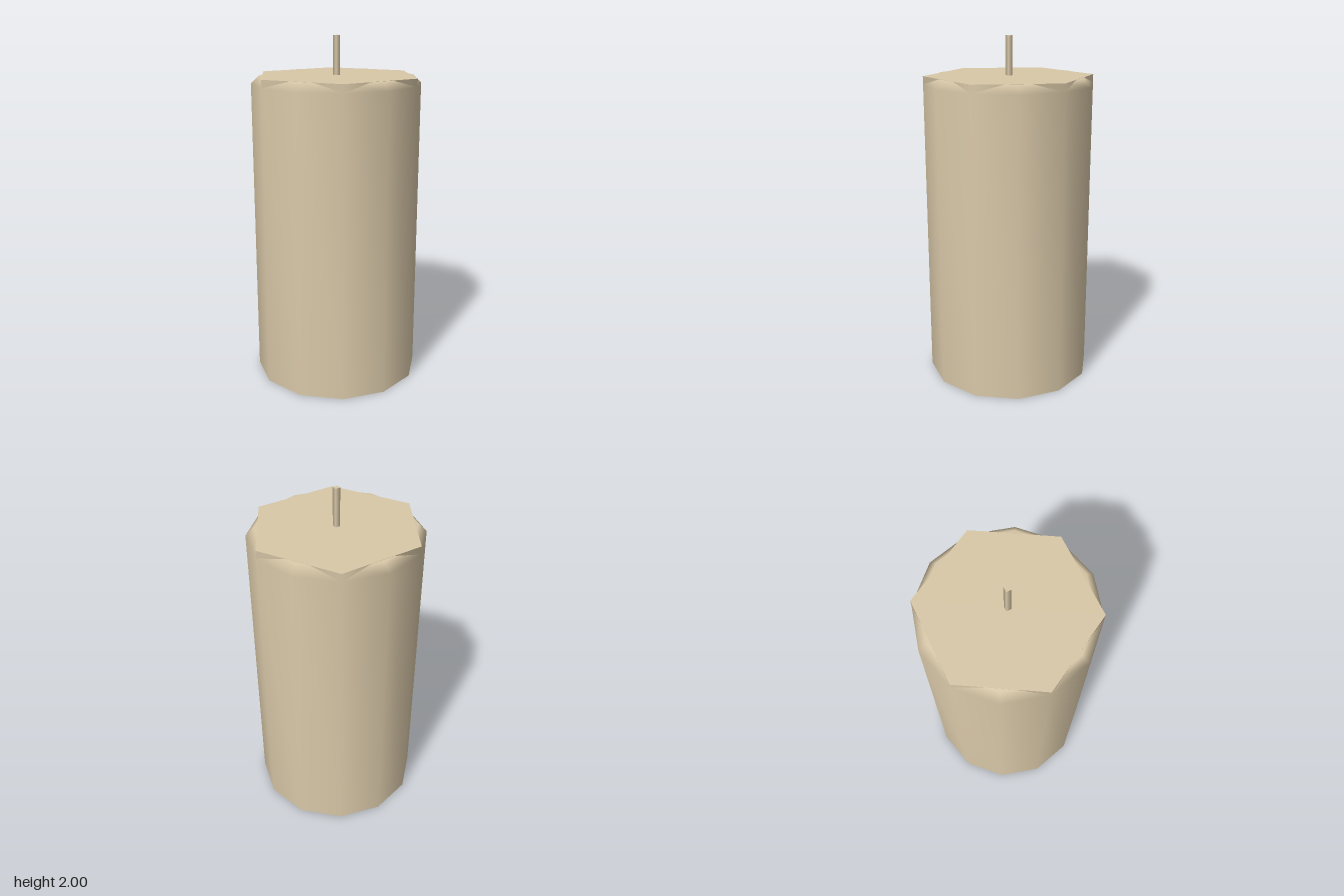
import * as THREE from 'three';
import { mergeVertices } from 'three/addons/utils/BufferGeometryUtils.js';

const RADIUS = 0.485, TOP = 1.78, BEVEL = 0.046;

export function createModel() {
  const model = new THREE.Group();
  model.name = 'candle';
  const wax = new THREE.MeshStandardMaterial({ color: 0xd9c8a8 });
  wax.name = 'wax';

  const add = (name, geometry, y = 0) => {
    const mesh = new THREE.Mesh(geometry, wax);
    mesh.name = name;
    mesh.position.y = y;
    model.add(mesh);
    return mesh;
  };

  // Twelve-sided body with a softly shaded bevel at the rim
  const profile = [
    [RADIUS, 0], [RADIUS, TOP - BEVEL], [RADIUS - BEVEL, TOP - 0.001], [0, TOP - 0.001],
  ].map(([x, y]) => new THREE.Vector2(x, y));
  let body = new THREE.LatheGeometry(profile, 12);
  body.deleteAttribute('normal');
  body.deleteAttribute('uv');
  body = mergeVertices(body, 1e-4);
  body.computeVertexNormals();
  add('body', body);

  // Flat underside, corners aligned with the body
  add('base', new THREE.CircleGeometry(RADIUS, 12)).rotation.x = Math.PI / 2;

  // Six-sided top whose corners stand out above the bevel
  add('hexagonalTop', new THREE.CylinderGeometry(RADIUS, RADIUS, 0.1, 6, 1, false, Math.PI / 6), TOP - 0.05);

  // Square wick
  const wickHeight = 2 - TOP + 0.02;
  add('wick', new THREE.CylinderGeometry(0.02, 0.02, wickHeight, 4, 1, false, Math.PI / 4), 2 - wickHeight / 2);

  return model;
}
